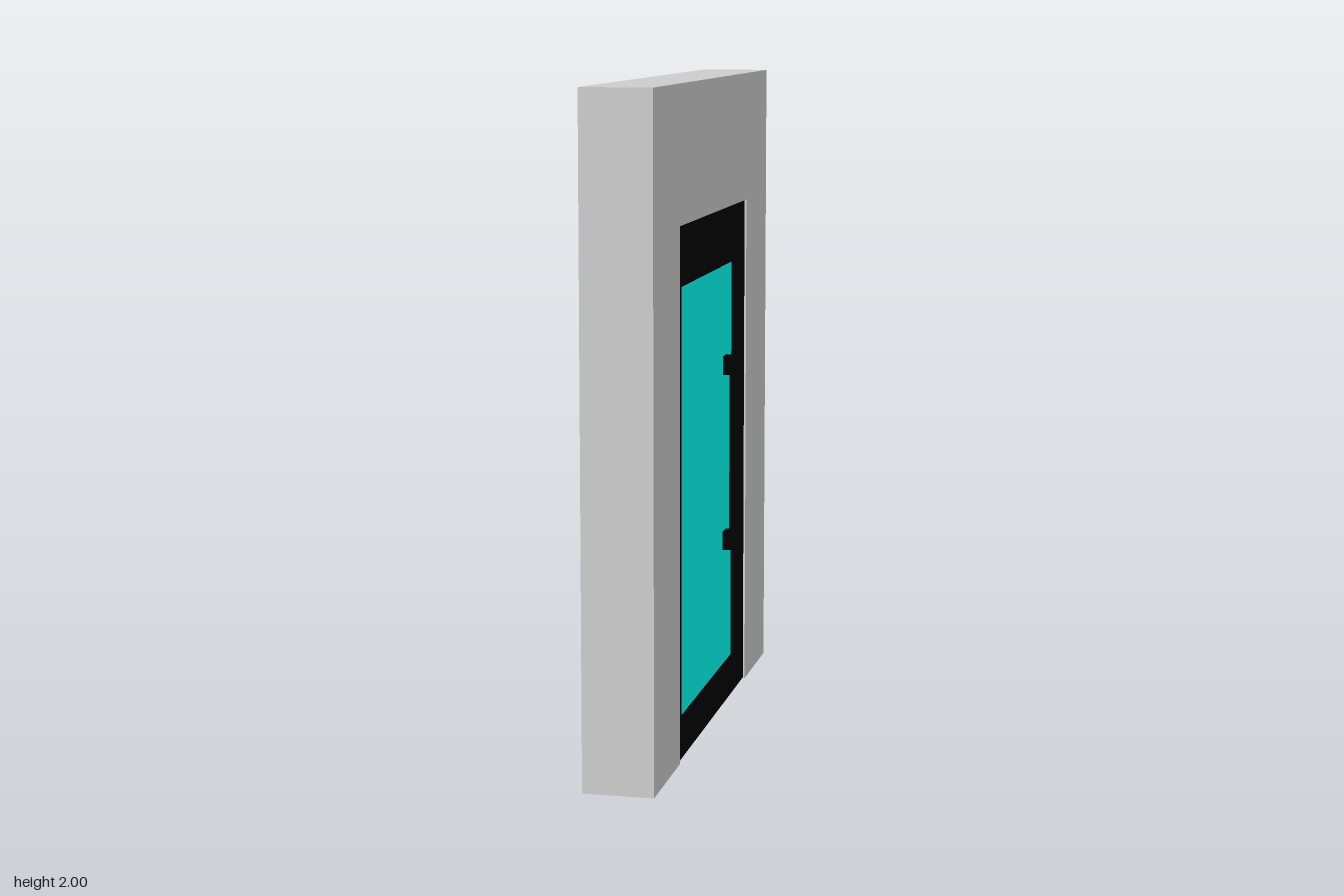
import * as THREE from 'three';

const grey = new THREE.MeshStandardMaterial({ color: 0xcccccc });
const black = new THREE.MeshStandardMaterial({ color: 0x000000 });
const cyan = new THREE.MeshStandardMaterial({ color: 0x00fff4 });

// Box given by its min and max along each axis
function box(name, material, [x0, x1], [y0, y1], [z0, z1]) {
  const mesh = new THREE.Mesh(new THREE.BoxGeometry(x1 - x0, y1 - y0, z1 - z0), material);
  mesh.position.set((x0 + x1) / 2, (y0 + y1) / 2, (z0 + z1) / 2);
  mesh.name = name;
  return mesh;
}

// Upright slab from x0 to x1, its [z, y] outline counter-clockwise seen from +x
function slab(name, material, outline, hole, x0, x1) {
  const toPoints = (pts) => pts.map(([z, y]) => new THREE.Vector2(-z, y));
  const shape = new THREE.Shape(toPoints(outline));
  if (hole) shape.holes.push(new THREE.Path(toPoints(hole)));
  const geometry = new THREE.ExtrudeGeometry(shape, { depth: x1 - x0, bevelEnabled: false });
  geometry.rotateY(Math.PI / 2).translate(x0, 0, 0);
  const mesh = new THREE.Mesh(geometry, material);
  mesh.name = name;
  return mesh;
}

const rect = (z0, z1, y0, y1) => [[z1, y0], [z0, y0], [z0, y1], [z1, y1]];

// Pull handle: a flat bar on two end blocks; side is +1 outside, -1 inside
function handle(name, side, doorX) {
  const group = new THREE.Group();
  group.name = name;
  const span = (a, b) => [doorX + side * a, doorX + side * b].sort((p, q) => p - q);
  group.add(box('handleBar', black, span(0.032, 0.046), [0.51, 1.08], [-0.332, -0.28]));
  for (const y of [0.48, 1.05]) {
    group.add(box('handleMount', black, span(0.005, 0.045), [y, y + 0.06], [-0.333, -0.282]));
  }
  return group;
}

export function createModel() {
  const model = new THREE.Group();
  model.name = 'doorInWall';

  // Wall with a doorway open at the floor
  const wall = [
    [0.83, 0], [0.492, 0], [0.492, 1.594], [-0.492, 1.594],
    [-0.492, 0], [-0.83, 0], [-0.83, 2], [0.83, 2],
  ];
  model.add(slab('wall', grey, wall, null, -0.108, 0.103));

  // Door frame lining the doorway, with header and sill
  model.add(slab('doorFrame', black, rect(-0.492, 0.492, 0.002, 1.594),
    rect(-0.445, 0.445, 0.055, 1.45), -0.102, 0.097));

  // Hinged leaf, leaving a narrow gap on the hinge side
  const door = new THREE.Group();
  door.name = 'door';
  const doorX = 0.06;
  door.add(slab('leafFrame', black, rect(-0.445, 0.432, 0.055, 1.45),
    rect(-0.415, 0.4, 0.1, 1.402), doorX - 0.014, doorX + 0.014));
  door.add(box('glassPane', cyan, [doorX - 0.01, doorX + 0.01], [0.1, 1.402], [-0.415, 0.4]));
  door.add(handle('outerHandle', 1, doorX), handle('innerHandle', -1, doorX));
  model.add(door);

  return model;
}
